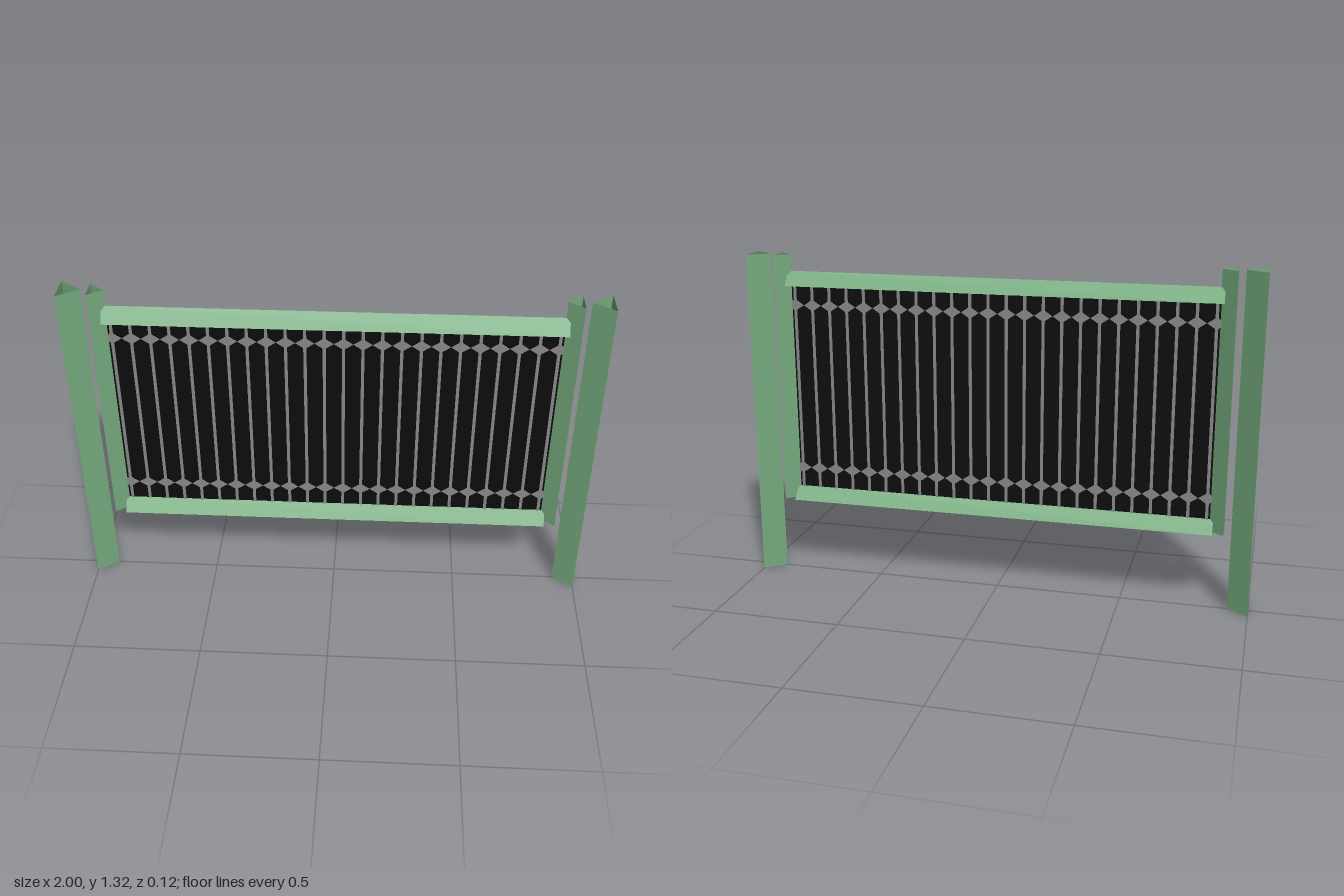
import * as THREE from 'three';

const green = new THREE.MeshStandardMaterial({ color: 0x74aa7d, side: THREE.DoubleSide, flatShading: true });
green.name = 'green paint';
const black = new THREE.MeshStandardMaterial({ color: 0x0c0c0c });
black.name = 'black panel';
const grey = new THREE.MeshStandardMaterial({ color: 0x888888 });
grey.name = 'grey metal';

function add(parent, name, geometry, material, x = 0, y = 0, z = 0) {
  const mesh = new THREE.Mesh(geometry, material);
  mesh.name = name;
  mesh.position.set(x, y, z);
  parent.add(mesh);
  return mesh;
}

// Open-ended triangular tube along y: flat face at x = 0, ridge at x = -depth
function triangleTube(depth, halfWidth, length) {
  const g = new THREE.CylinderGeometry(1, 1, length, 3, 1, true).toNonIndexed();
  const p = g.attributes.position;
  for (let i = 0; i < p.count; i++) {
    // the three sides start at +z, so the ridge is the corner at z = 1
    const ridge = p.getZ(i) > 0.9;
    const side = Math.sign(p.getX(i));
    p.setXYZ(i, ridge ? -depth : 0, p.getY(i), ridge ? 0 : side * halfWidth);
  }
  g.computeVertexNormals();
  return g;
}

export function createModel() {
  const group = new THREE.Group();
  group.name = 'fencePanel';

  // Ground posts and the shorter frame posts, ridges facing inward
  for (const s of [1, -1]) {
    const side = s > 0 ? 'left' : 'right';
    const post = add(group, side + 'Post', triangleTube(0.08, 0.058, 1.32), green, s, 0.66);
    const frame = add(group, side + 'FramePost', triangleTube(0.057, 0.043, 1.005), green, s * 0.892, 0.8175);
    if (s < 0) post.rotation.y = frame.rotation.y = Math.PI;
  }

  // Rails with the ridge on top
  for (const [name, y] of [['topRail', 1.2], ['bottomRail', 0.312]]) {
    const rail = add(group, name, triangleTube(0.055, 0.043, 1.7), green, 0, y);
    rail.rotation.z = -Math.PI / 2;
  }

  // Dark infill sheet
  add(group, 'infillPanel', new THREE.BoxGeometry(1.68, 0.86, 0.004), black, 0, 0.785);

  // Upright bars with a pointed ornament near each end
  const star = new THREE.Shape([
    [0.035, 0], [0.014, 0.014], [0, 0.024], [-0.014, 0.014],
    [-0.035, 0], [-0.014, -0.014], [0, -0.024], [0.014, -0.014],
  ].map(([x, y]) => new THREE.Vector2(x, y)));
  const starGeometry = new THREE.ExtrudeGeometry(star, { depth: 0.009, bevelEnabled: false });
  starGeometry.translate(0, 0, -0.0045);
  const barGeometry = new THREE.BoxGeometry(0.012, 0.86, 0.008);
  for (let i = 0; i < 24; i++) {
    const x = (i - 11.5) * 0.0717;
    add(group, 'bar', barGeometry, grey, x, 0.785);
    for (const y of [0.445, 1.12]) add(group, 'barOrnament', starGeometry, grey, x, y);
  }
  return group;
}
